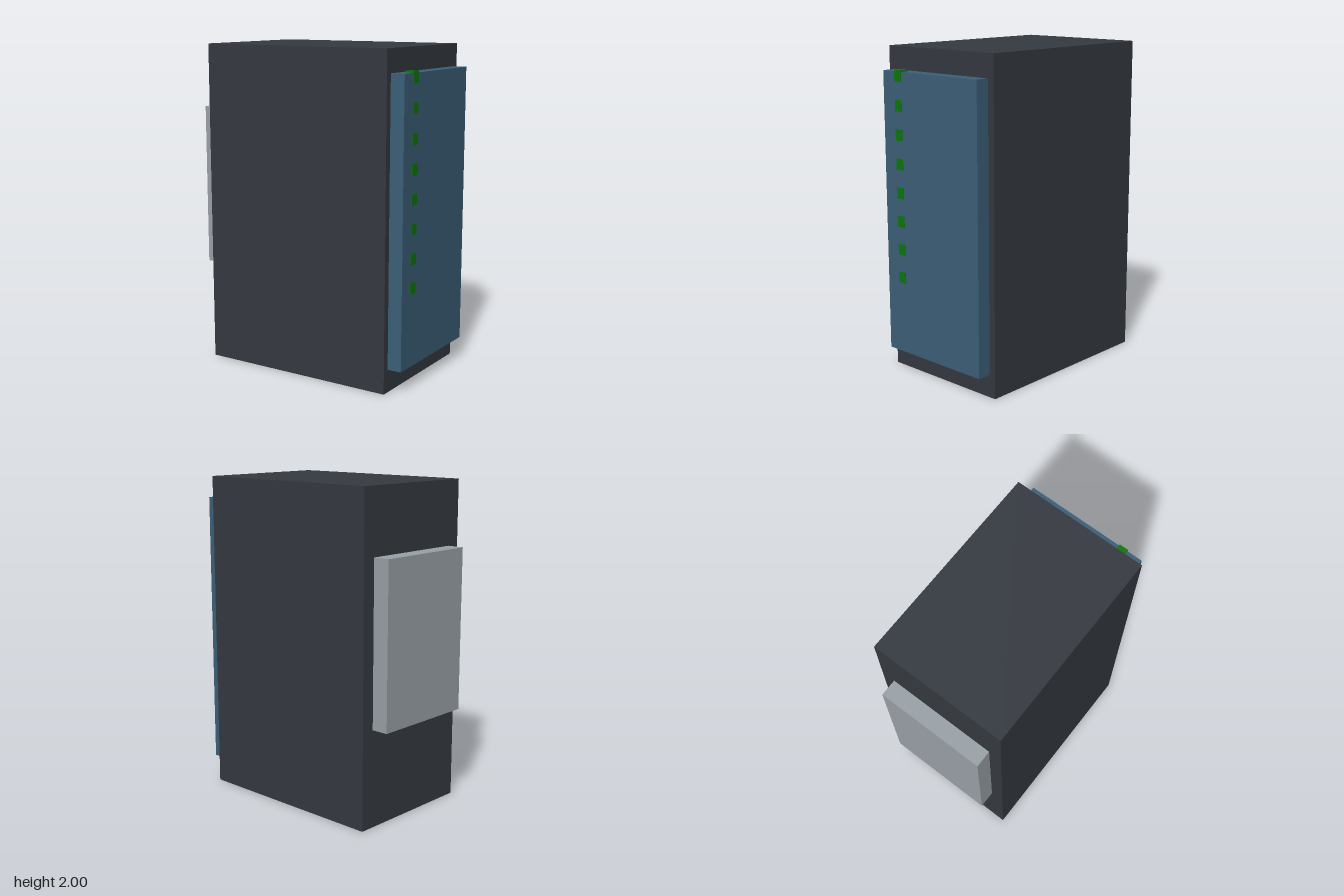
import * as THREE from 'three';

const material = (name, color) => {
  const m = new THREE.MeshStandardMaterial({ color });
  m.name = name;
  return m;
};

// Box given by its min and max corners
function box(name, mat, [x0, y0, z0], [x1, y1, z1]) {
  const mesh = new THREE.Mesh(new THREE.BoxGeometry(x1 - x0, y1 - y0, z1 - z0), mat);
  mesh.position.set((x0 + x1) / 2, (y0 + y1) / 2, (z0 + z1) / 2);
  mesh.name = name;
  return mesh;
}

export function createModel() {
  const charcoal = material('charcoal', 0x353a41);
  const blue = material('steel blue', 0x3c6078);
  const grey = material('light grey', 0x9aa1a8);
  const green = material('indicator green', 0x0c780c);

  const group = new THREE.Group();
  group.name = 'cabinet';

  // Main casing, with a door on one side and a panel on the other
  group.add(box('casing', charcoal, [-0.625, 0, -0.427], [0.639, 2, 0.427]));
  group.add(box('door', blue, [0.639, 0.14, -0.384], [0.727, 1.862, 0.384]));
  group.add(box('sidePanel', grey, [-0.73, 0.6, -0.342], [-0.625, 1.603, 0.342]));

  // Column of indicator lights set into the door, the top one just above its edge
  const lights = new THREE.Group();
  lights.name = 'indicatorLights';
  for (let i = 0; i < 8; i++) {
    const y = 0.618 + i * 0.1743;
    lights.add(box('indicatorLight', green, [0.677, y - 0.034, 0.228], [0.73, y + 0.034, 0.285]));
  }
  group.add(lights);
  return group;
}
